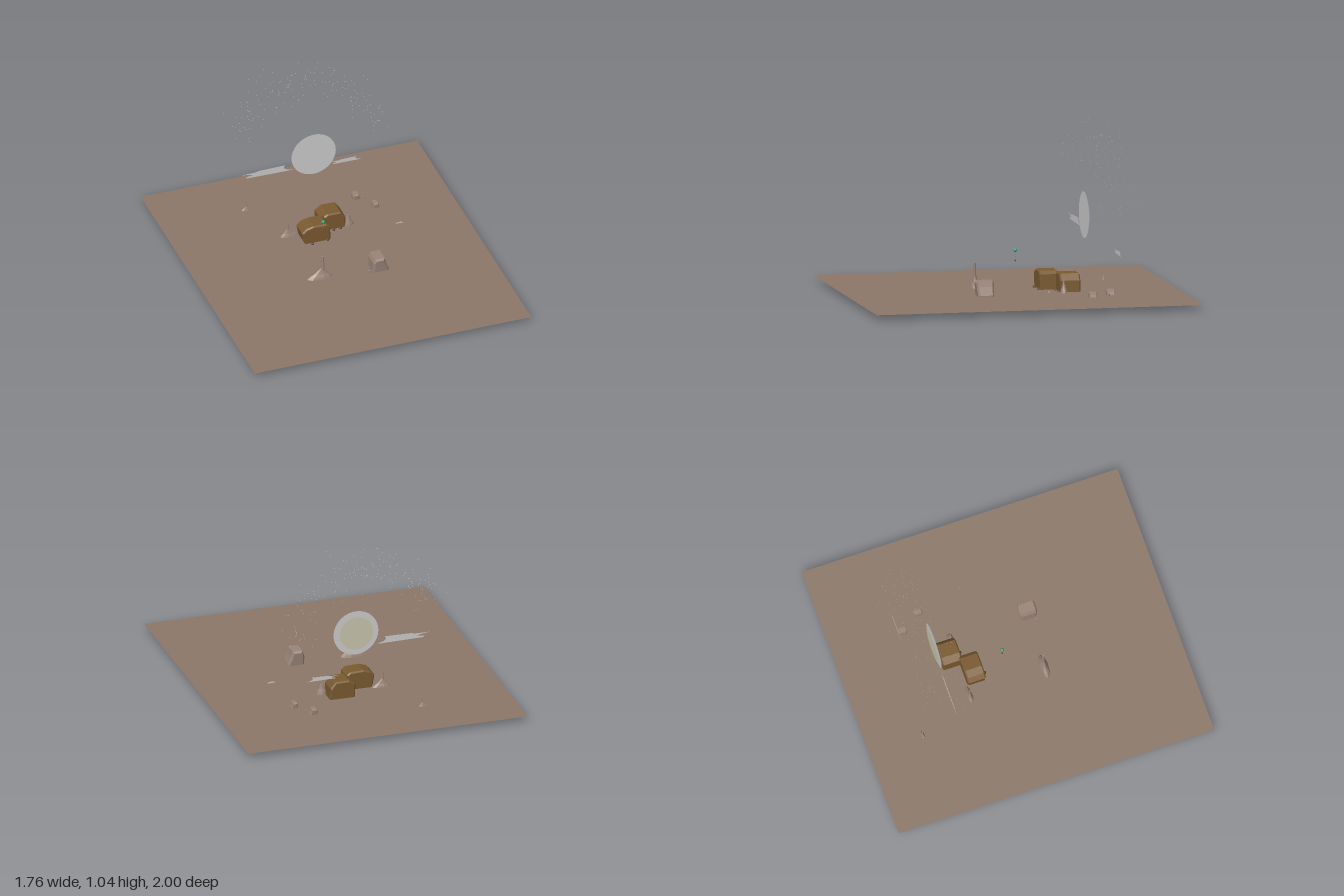
import * as THREE from 'three';
import { mergeGeometries } from 'three/addons/utils/BufferGeometryUtils.js';

const GROUND_Y = 0.035;

function mat(color, doubleSide = false) {
  return new THREE.MeshStandardMaterial({
    color, flatShading: true, side: doubleSide ? THREE.DoubleSide : THREE.FrontSide,
  });
}
const sand = mat(0x8b7768, true), stone = mat(0x9a8478), clay = mat(0x7a5a30);
const dark = mat(0x5a4430), grey = mat(0xcccccc, true), cream = mat(0xc8c6aa, true);
const green = mat(0x3aa07a);

function add(parent, name, geometry, material, x = 0, y = 0, z = 0) {
  const mesh = new THREE.Mesh(geometry, material);
  mesh.name = name;
  mesh.position.set(x, y, z);
  parent.add(mesh);
  return mesh;
}

function outline(points) {
  return new THREE.Shape(points.map(([x, y]) => new THREE.Vector2(x, y)));
}

// Faceted hut: bevelled outline extruded along z, narrower towards its foot
function hutGeometry(points, depth, bevel, footTaper) {
  const geo = new THREE.ExtrudeGeometry(outline(points), {
    depth: depth - 2 * bevel, bevelEnabled: true, bevelSegments: 1,
    bevelSize: bevel, bevelOffset: -bevel, bevelThickness: bevel,
  });
  geo.translate(0, 0, bevel - depth / 2);
  const top = Math.max(...points.map((p) => p[1]));
  const pos = geo.attributes.position;
  for (let i = 0; i < pos.count; i++) {
    const t = pos.getY(i) / top;
    pos.setZ(i, pos.getZ(i) * (footTaper + (1 - footTaper) * t));
  }
  geo.computeVertexNormals();
  return geo;
}

// Long concave mound whose peak is shifted along x, with a chimney on top
function hill(parent, { x, z, left, right, half, height, spire, width }) {
  const group = new THREE.Group();
  group.name = 'hill';
  group.position.set(x, 0.015, z);
  const profile = [[0, 0], [1, 0], [0.66, 0.4], [0.42, 0.6], [0.1, 1], [0, 1]];
  const geo = new THREE.LatheGeometry(profile.map(([r, y]) => new THREE.Vector2(r, y * height)), 8);
  const pos = geo.attributes.position;
  for (let i = 0; i < pos.count; i++) {
    const px = pos.getX(i);
    pos.setX(i, px * (px < 0 ? left : right));
    pos.setZ(i, pos.getZ(i) * half);
  }
  geo.computeVertexNormals();
  add(group, 'mound', geo, stone);
  if (spire) {
    const h = spire - height * 0.8;
    add(group, 'chimney', new THREE.CylinderGeometry(width * 0.4, width * 0.55, h, 6), stone, 0, spire - h / 2, 0);
  }
  parent.add(group);
}

export function createModel() {
  const model = new THREE.Group();
  model.name = 'desertSettlement';

  // Ground sheet
  add(model, 'ground', new THREE.PlaneGeometry(1.76, 2).rotateX(-Math.PI / 2), sand, 0, GROUND_Y, 0);

  // Two large clay huts
  const hutA = [[-0.055, 0], [0.07, 0], [0.092, 0.03], [0.088, 0.125], [0.065, 0.145],
    [-0.02, 0.148], [-0.065, 0.135], [-0.09, 0.11], [-0.08, 0.05]];
  add(model, 'frontHut', hutGeometry(hutA, 0.115, 0.008, 0.95), clay, -0.055, 0.002, -0.245);
  const hutB = [[-0.07, 0], [0.06, 0], [0.08, 0.02], [0.075, 0.1], [0.045, 0.14],
    [-0.04, 0.142], [-0.08, 0.115], [-0.08, 0.03]];
  add(model, 'backHut', hutGeometry(hutB, 0.125, 0.008, 0.95), clay, 0.09, 0.004, -0.347);

  // Grey stone huts, one large and two small, each with a side annex
  const stoneHut = [[-0.045, 0], [0.06, 0], [0.06, 0.025], [0.04, 0.075], [0.03, 0.11],
    [-0.03, 0.11], [-0.042, 0.085]];
  const hutSpots = [[0.195, 0.188, 1, 1], [0.325, -0.555, 0.48, 0.48], [0.405, -0.43, 0.46, 0.42]];
  for (const [x, z, size, wide] of hutSpots) {
    const hut = add(model, 'stoneHut', hutGeometry(stoneHut, 0.112, 0.012, 0.82), stone, x, 0.016, z);
    hut.scale.set(wide, size, size);
  }
  add(model, 'hutBarrel', new THREE.CylinderGeometry(0.008, 0.01, 0.03, 6), stone, 0.13, 0.035, 0.225);
  add(model, 'hutBarrel', new THREE.CylinderGeometry(0.006, 0.008, 0.025, 6), stone, 0.37, 0.035, -0.535);

  // Hills with chimneys
  const hills = [
    { x: -0.147, z: 0.172, left: 0.125, right: 0.078, half: 0.035, height: 0.085, spire: 0.168, width: 0.02 },
    { x: -0.195, z: -0.31, left: 0.062, right: 0.09, half: 0.025, height: 0.07, spire: 0.115, width: 0.01 },
    { x: -0.33, z: -0.657, left: 0.055, right: 0.04, half: 0.017, height: 0.045, spire: 0.075, width: 0.006 },
    { x: 0.188, z: -0.3, left: 0.05, right: 0.042, half: 0.026, height: 0.09 },
  ];
  hills.forEach((h) => hill(model, h));

  // Boulders beside the huts
  for (const [x, z] of [[-0.085, -0.178], [0.012, -0.185], [0.04, -0.28], [0.085, -0.275], [0.13, -0.28]]) {
    add(model, 'boulder', new THREE.IcosahedronGeometry(0.011, 0), dark, x, 0.037, z);
  }

  // Moon: wide grey disc with a smaller pale disc behind it
  add(model, 'moonHalo', new THREE.CircleGeometry(0.141, 48), grey, 0.025, 0.479, -0.46);
  add(model, 'moonDisc', new THREE.CircleGeometry(0.105, 48), cream, 0.025, 0.479, -0.47);

  // Flat ragged clouds
  const cloud = [[-1, 0.6], [-0.4, 0.65], [-0.3, 0.9], [0.7, 1], [0.65, 0.2], [0.75, -0.3],
    [1, -0.9], [-0.75, -0.7], [-0.78, -0.3], [-0.5, 0], [-0.65, 0.3]];
  for (const [x, y, z, sx, sy] of [[-0.272, 0.412, -0.468, 0.168, 0.023],
    [0.28, 0.28, -0.61, 0.1, 0.014], [0.455, 0.082, -0.15, 0.03, 0.005]]) {
    add(model, 'cloud', new THREE.ShapeGeometry(outline(cloud)), grey, x, y, z).scale.set(sx, sy, 1);
  }

  // Floating orb with a trail of sparks down to an ember
  add(model, 'orb', new THREE.IcosahedronGeometry(0.011, 1), green, -0.06, 0.266, -0.058);
  add(model, 'ember', new THREE.IcosahedronGeometry(0.006, 0), dark, -0.06, 0.203, -0.058);
  for (let i = 0; i < 4; i++) {
    add(model, 'spark', new THREE.TetrahedronGeometry(0.002), green, -0.06 + (i % 2 ? 0.004 : -0.004), 0.215 + i * 0.011, -0.058);
  }

  // Arch of tiny stars
  let seed = 7;
  const rand = () => (seed = (seed * 16807) % 2147483647) / 2147483647;
  const stars = [];
  for (let i = 0; i < 260; i++) {
    const a = Math.PI * (0.02 + 0.88 * rand());
    const r = 0.44 + (rand() + rand() - 1) * 0.13;
    const z = -0.57 + (rand() + rand() - 1) * 0.18;
    stars.push(new THREE.TetrahedronGeometry(0.0022).translate(
      0.01 + Math.cos(a) * r, 0.51 + Math.sin(a) * r, z));
  }
  add(model, 'stars', mergeGeometries(stars), grey);

  return model;
}
